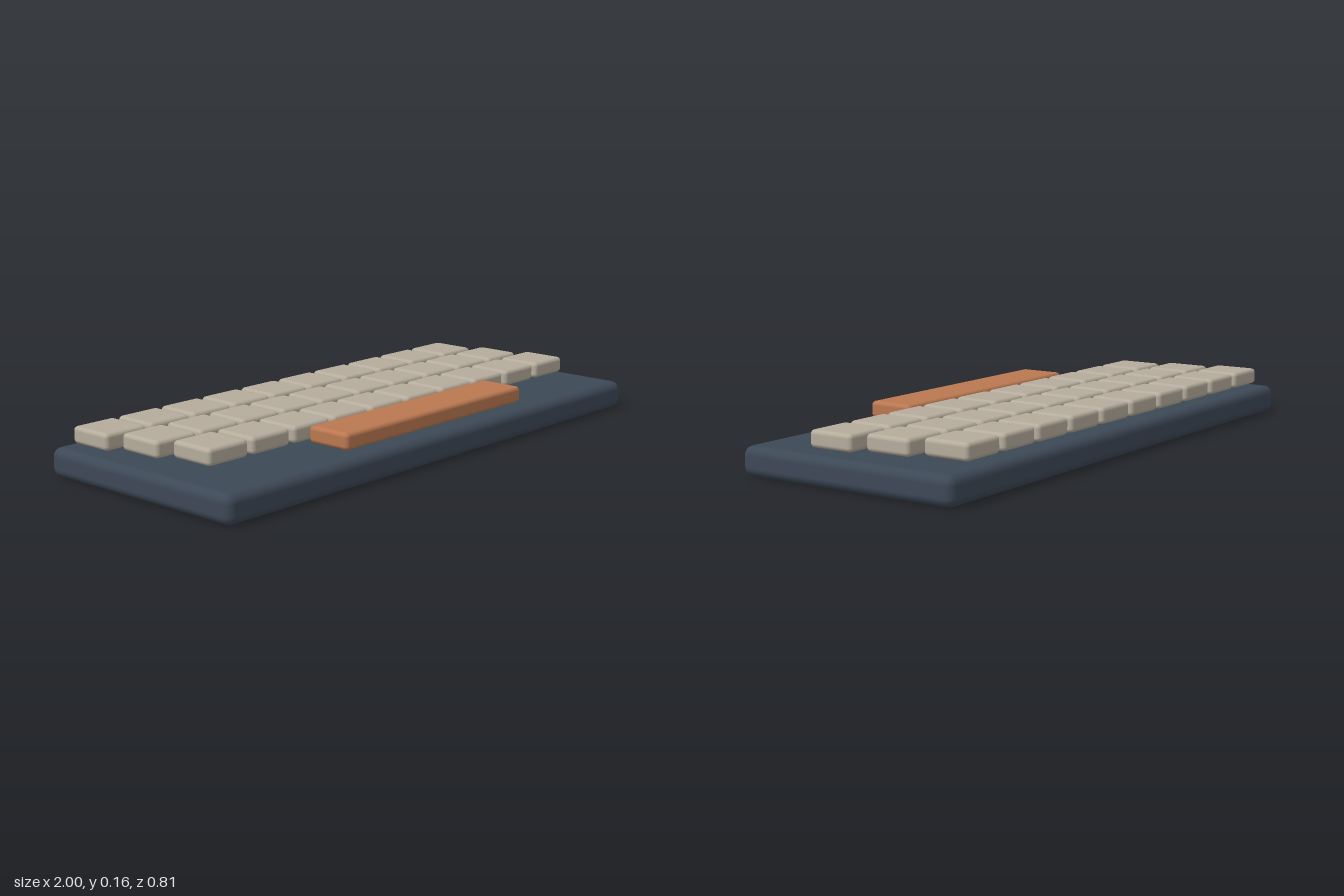
import * as THREE from 'three';
import { RoundedBoxGeometry } from 'three/addons/geometries/RoundedBoxGeometry.js';

const material = (name, color) => {
  const m = new THREE.MeshStandardMaterial({ color });
  m.name = name;
  return m;
};

export function createModel() {
  const model = new THREE.Group();
  model.name = 'keyboard';

  const slate = material('slate', 0x3d4856);
  const beige = material('beige', 0xb5ac9c);
  const orange = material('orange', 0xba7850);

  const add = (name, geometry, mat, x, y, z, parent = model) => {
    const mesh = new THREE.Mesh(geometry, mat);
    mesh.name = name;
    mesh.position.set(x, y, z);
    parent.add(mesh);
  };

  // Case
  add('case', new RoundedBoxGeometry(2, 0.096, 0.81, 3, 0.03), slate, 0, 0.048, 0);

  // Three staggered rows of ten keys, hovering just above the case
  const pitch = 0.1818, keyDepth = 0.164, keyHeight = 0.056, keyY = 0.135;
  const keyGeometry = new RoundedBoxGeometry(0.164, keyHeight, keyDepth, 3, 0.014);
  for (let row = 0; row < 3; row++) {
    const keyRow = new THREE.Group();
    keyRow.name = `keyRow${row + 1}`;
    model.add(keyRow);
    for (let i = 0; i < 10; i++) {
      const x = -0.864 + row * pitch / 4 + i * pitch;
      add('key', keyGeometry, beige, x, keyY, -0.273 + row * pitch, keyRow);
    }
  }

  // Space bar
  add('spaceBar', new RoundedBoxGeometry(0.891, keyHeight, keyDepth, 3, 0.014),
    orange, -0.002, keyY, -0.273 + 3 * pitch);

  return model;
}
